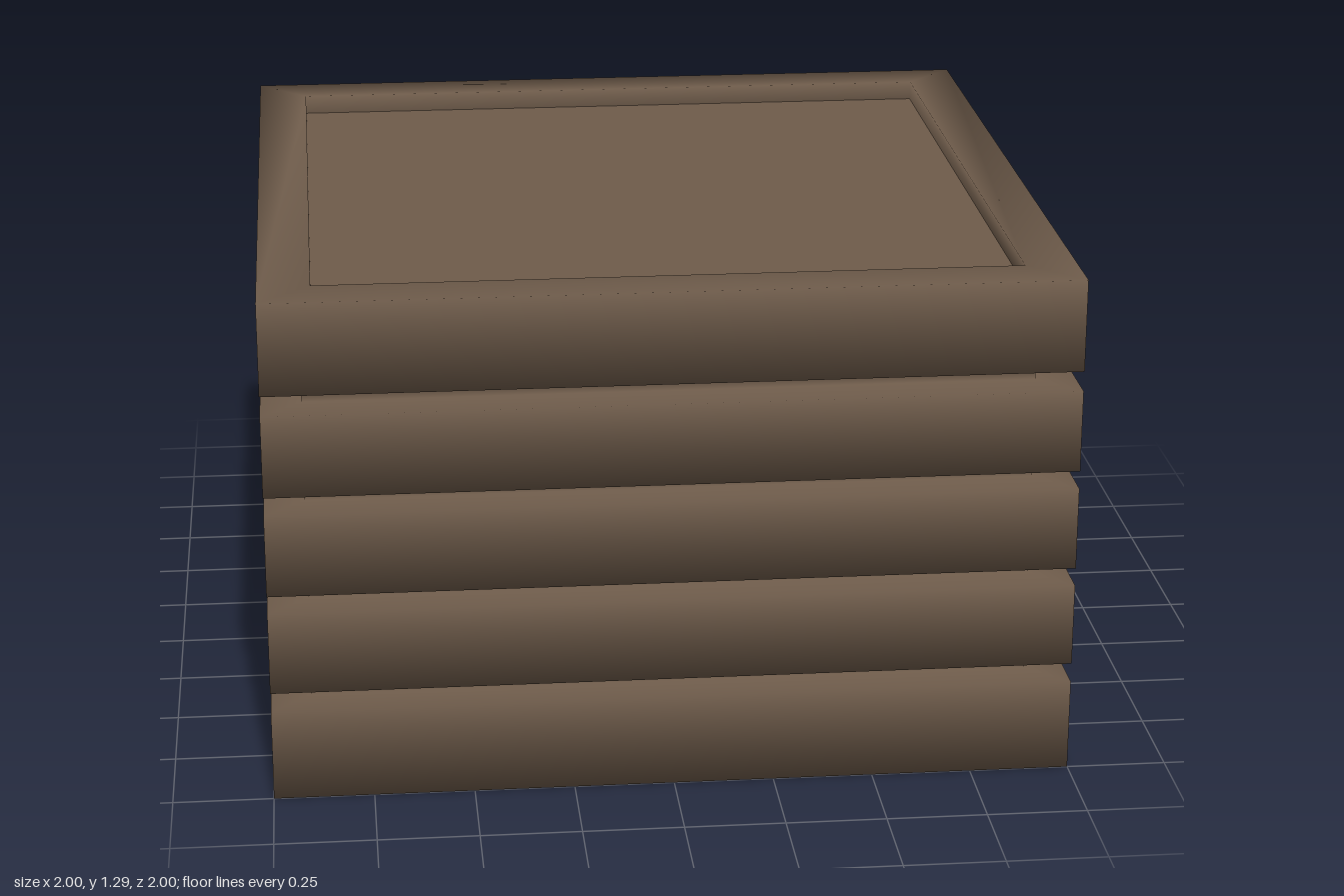
import * as THREE from 'three';

export function createModel() {
  const group = new THREE.Group();
  group.name = 'slabStack';
  const material = new THREE.MeshStandardMaterial({ color: 0x6f5c4b });

  const half = 1, neck = 0.9, rim = 0.87, height = 1.295, recess = 0.05;
  // bottom and top of each slab
  const slabs = [[0, 0.235], [0.285, 0.497], [0.543, 0.755], [0.801, 1.01], [1.061, height]];

  // Profile from the middle of the underside, out and up over the slabs, to the recess
  const profile = [[0, 0], [rim, 0]];
  slabs.forEach(([bottom, top], i) => {
    if (i > 0) profile.push([neck, bottom]);
    profile.push([half, bottom], [half, top]);
    if (i < slabs.length - 1) profile.push([neck, top]);
  });
  profile.push([rim, height], [rim, height - recess]);

  // Four-sided lathe: smooth normals run around the square corners
  const points = profile.map(([r, y]) => new THREE.Vector2(r * Math.SQRT2, y));
  const body = new THREE.Mesh(new THREE.LatheGeometry(points, 4, Math.PI / 4), material);
  body.name = 'groovedBody';
  group.add(body);

  // Flat floor of the shallow recess on top
  const panel = new THREE.Mesh(new THREE.PlaneGeometry(2 * rim, 2 * rim).rotateX(-Math.PI / 2), material);
  panel.position.y = height - recess;
  panel.name = 'topPanel';
  group.add(panel);

  return group;
}
